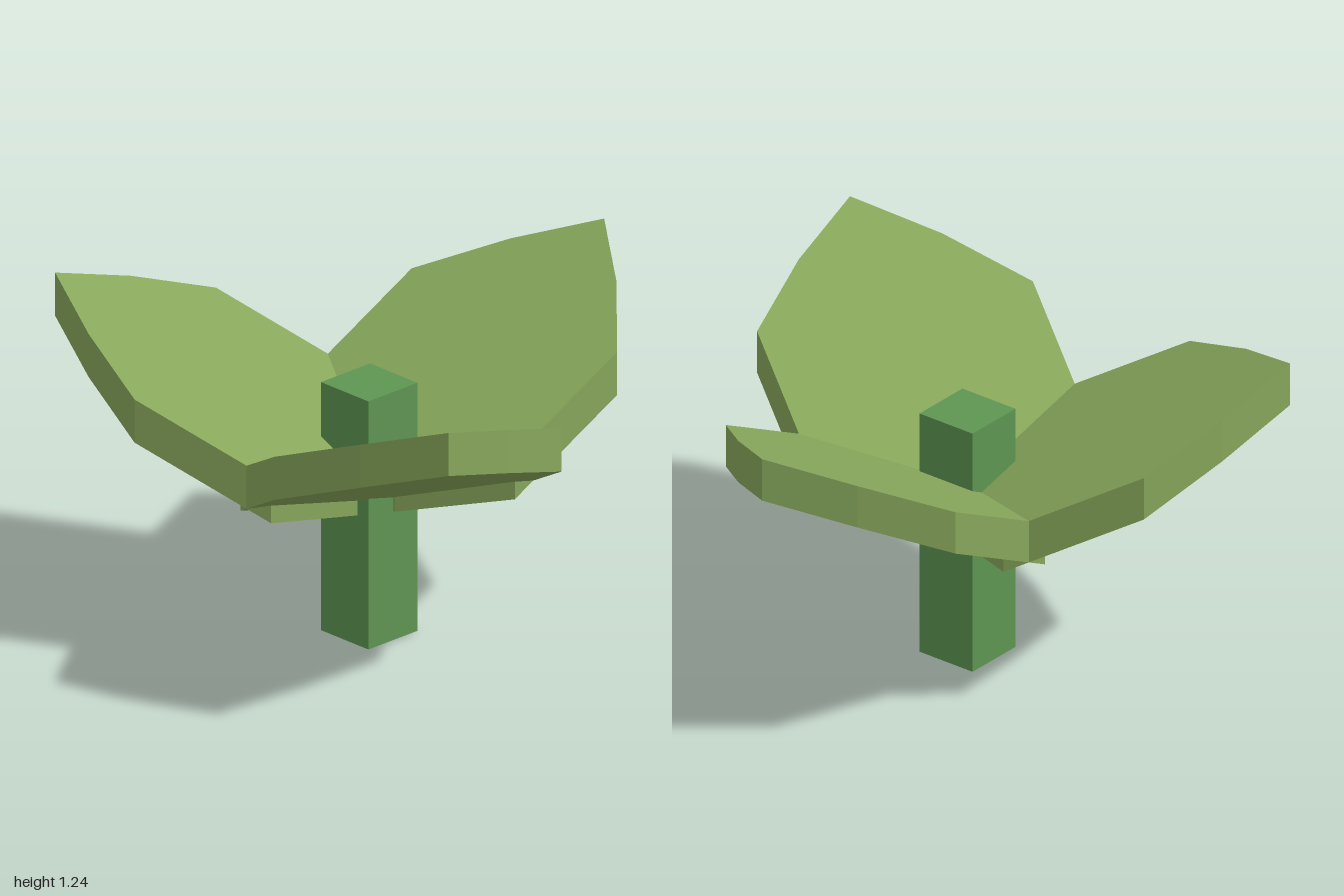
import * as THREE from 'three';

export function createModel() {
  const model = new THREE.Group();
  const leafGreen = new THREE.MeshStandardMaterial({ color: 0x87a75b });
  leafGreen.name = 'leafGreen';
  const stemGreen = new THREE.MeshStandardMaterial({ color: 0x5f9653 });
  stemGreen.name = 'stemGreen';

  const plant = new THREE.Group();
  plant.name = 'plant';
  plant.position.x = -0.17;
  model.add(plant);

  // Square stem, poking up through the leaves
  const stemHeight = 0.95;
  const stem = new THREE.Mesh(new THREE.BoxGeometry(0.24, stemHeight, 0.24), stemGreen);
  stem.name = 'stem';
  stem.position.y = stemHeight / 2;
  plant.add(stem);

  // Half outline of a leaf, from base to tip, mirrored to close it
  const half = [[0, 0.13], [0.21, 0.52], [0.71, 0.52], [0.95, 0.27]];
  const outline = [
    ...half.map(([x, w]) => new THREE.Vector2(x, -w)),
    new THREE.Vector2(1.15, 0),
    ...half.slice().reverse().map(([x, w]) => new THREE.Vector2(x, w)),
  ];
  const leafGeometry = new THREE.ExtrudeGeometry(new THREE.Shape(outline), {
    depth: 0.165, bevelEnabled: false,
  });
  leafGeometry.rotateX(-Math.PI / 2);

  // Slope the leaf upward while keeping its rim vertical
  const pos = leafGeometry.attributes.position;
  for (let i = 0; i < pos.count; i++) {
    pos.setY(i, pos.getY(i) + 0.495 + pos.getX(i) * 0.5);
  }
  leafGeometry.computeVertexNormals();

  // Three leaves around the stem
  ['leftLeaf', 'backLeaf', 'frontLeaf'].forEach((name, i) => {
    const leaf = new THREE.Mesh(leafGeometry, leafGreen);
    leaf.name = name;
    leaf.rotation.y = (i * Math.PI * 2) / 3;
    plant.add(leaf);
  });

  return model;
}
